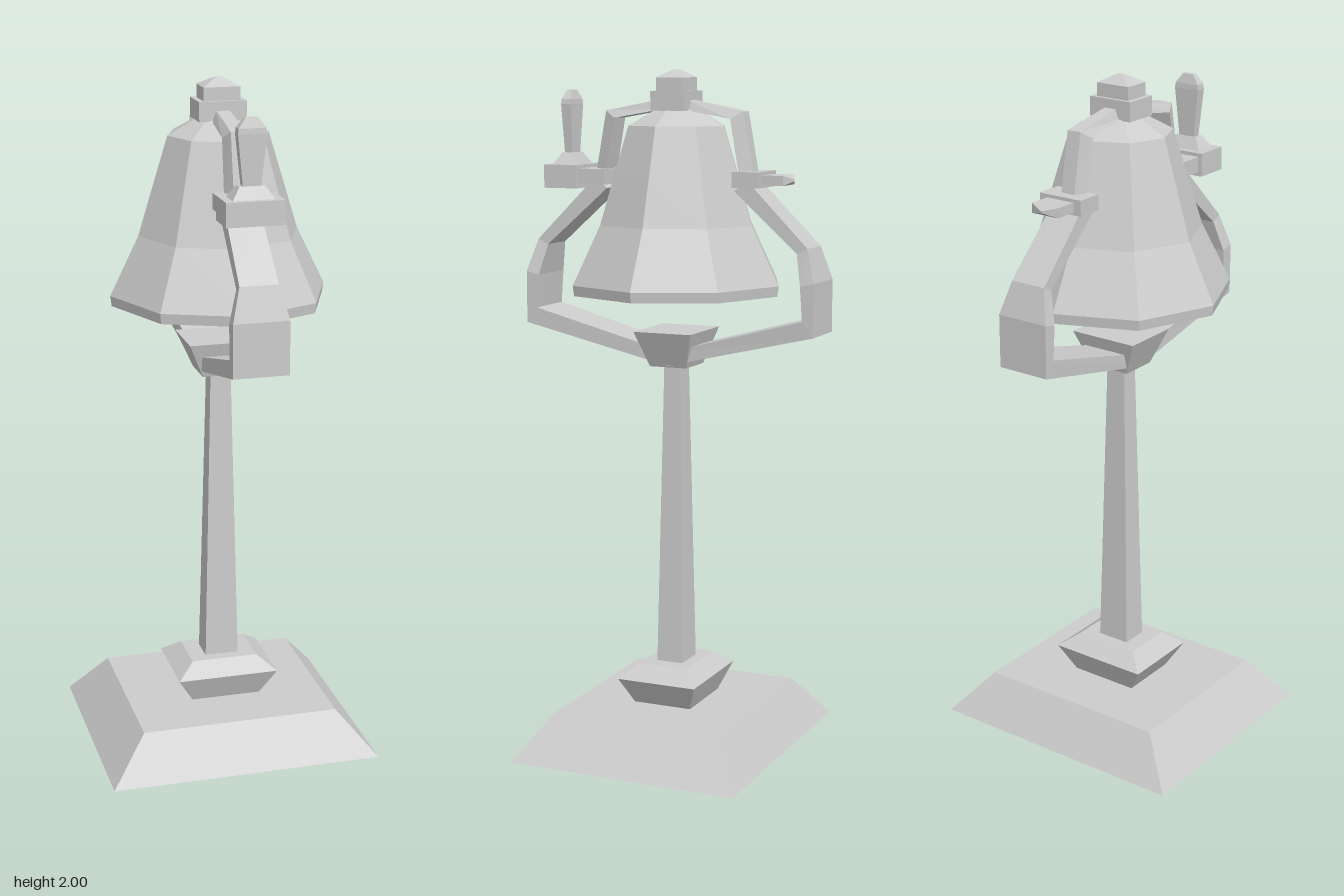
import * as THREE from 'three';

const material = new THREE.MeshStandardMaterial({ color: 0xcccccc, flatShading: true });

function addMesh(parent, name, geometry) {
  const mesh = new THREE.Mesh(geometry, material);
  mesh.name = name;
  parent.add(mesh);
  return mesh;
}

// Skin four-cornered rings into a closed, capped solid
function loft(rings) {
  const pos = [];
  const quad = (a, b, c, d) => [a, b, c, a, c, d].forEach((p) => pos.push(...p));
  for (let i = 0; i + 1 < rings.length; i++) {
    for (let k = 0; k < 4; k++) {
      const n = (k + 1) % 4;
      quad(rings[i][k], rings[i][n], rings[i + 1][n], rings[i + 1][k]);
    }
  }
  quad(...[...rings[0]].reverse());
  quad(...rings[rings.length - 1]);
  const g = new THREE.BufferGeometry();
  g.setAttribute('position', new THREE.Float32BufferAttribute(pos, 3));
  g.computeVertexNormals();
  return g;
}

// Stack of rectangles: [y, halfX, halfZ]
const stack = (levels) => loft(levels.map(([y, x, z]) => [[x, y, z], [x, y, -z], [-x, y, -z], [-x, y, z]]));

// Bar in the yz plane: [outerZ, outerY, innerZ, innerY, outerHalfX, innerHalfX]
const bar = (stations) => loft(stations.map(([oz, oy, iz, iy, ox, ix]) =>
  [[ox, oy, oz], [-ox, oy, oz], [-ix, iy, iz], [ix, iy, iz]]));

const mirrorZ = (s) => [-s[0], s[1], -s[2], s[3], s[4], s[5]];

function box(parent, name, w, h, d, y, z) {
  addMesh(parent, name, new THREE.BoxGeometry(w, h, d)).position.set(0, y, z);
}

export function createModel() {
  const model = new THREE.Group();
  model.name = 'bellOnStand';

  // Stand
  addMesh(model, 'base', stack([[0, 0.405, 0.35], [0.13, 0.295, 0.262]]));
  addMesh(model, 'postCollar', stack([[0.13, 0.105, 0.09], [0.21, 0.153, 0.123], [0.25, 0.1, 0.075]]));
  addMesh(model, 'post', stack([[0.24, 0.051, 0.041], [1.16, 0.03, 0.026]]));
  addMesh(model, 'yokeSocket', stack([[1.145, 0.062, 0.058], [1.25, 0.107, 0.09]]));

  // Yoke: swings down from one pivot, under the bell and up to the other
  const side = [
    [0.24, 1.69, 0.2, 1.66, 0.05, 0.05],
    [0.425, 1.505, 0.393, 1.49, 0.055, 0.055],
    [0.453, 1.41, 0.413, 1.4, 0.08, 0.08],
    [0.453, 1.257, 0.42, 1.302, 0.08, 0.08],
  ];
  const bottom = [0, 1.15, 0, 1.19, 0.065, 0.065];
  addMesh(model, 'yoke', bar([...side, bottom, ...side.map(mirrorZ).reverse()]));

  // Hanger arch over the bell
  const leg = [
    [0.252, 1.68, 0.215, 1.68, 0.022, 0.04],
    [0.215, 1.883, 0.182, 1.862, 0.022, 0.038],
    [0.03, 1.918, 0.03, 1.888, 0.018, 0.03],
  ];
  addMesh(model, 'hangerArch', bar([...leg.map(mirrorZ), ...leg.reverse()]));

  // Pivots at the front and back
  box(model, 'frontPivot', 0.14, 0.045, 0.085, 1.693, 0.243);
  box(model, 'backPivot', 0.14, 0.045, 0.08, 1.693, -0.24);
  const pin = addMesh(model, 'backPin', stack([[0, 0.045, 0.014], [0.068, 0.045, 0.014], [0.085, 0.003, 0.003]]));
  pin.rotation.x = -Math.PI / 2;
  pin.position.set(0, 1.692, -0.278);

  // Upright handle on the front pivot
  const handle = new THREE.Group();
  handle.name = 'handle';
  handle.position.z = 0.337;
  model.add(handle);
  box(handle, 'handleBlock', 0.164, 0.068, 0.105, 1.692, 0);
  addMesh(handle, 'handleFoot', stack([[1.725, 0.06, 0.035], [1.76, 0.036, 0.016]]));
  addMesh(handle, 'handleGrip', stack([
    [1.755, 0.025, 0.012], [1.9, 0.04, 0.016], [1.915, 0.038, 0.015], [1.942, 0.018, 0.007]]));

  // Eight-sided bell, hollow with a thick rim
  const profile = [
    [0, 1.85], [0.125, 1.82], [0.172, 1.69], [0.217, 1.55], [0.285, 1.39], [0.292, 1.36],
    [0.315, 1.36], [0.319, 1.39], [0.235, 1.56], [0.192, 1.7], [0.148, 1.842], [0.06, 1.89], [0, 1.89],
  ].map(([r, y]) => new THREE.Vector2(r, y));
  addMesh(model, 'bell', new THREE.LatheGeometry(profile, 8));

  // Clapper
  const clapper = [[0, 1.35], [0.035, 1.385], [0.035, 1.41], [0.022, 1.44], [0.014, 1.86]]
    .map(([r, y]) => new THREE.Vector2(r, y));
  addMesh(model, 'clapper', new THREE.LatheGeometry(clapper, 6));

  // Crown block and finial
  box(model, 'crownBlock', 0.137, 0.056, 0.104, 1.912, 0);
  addMesh(model, 'finial', stack([[1.935, 0.053, 0.041], [1.978, 0.053, 0.041], [2, 0.012, 0.006]]));

  return model;
}
